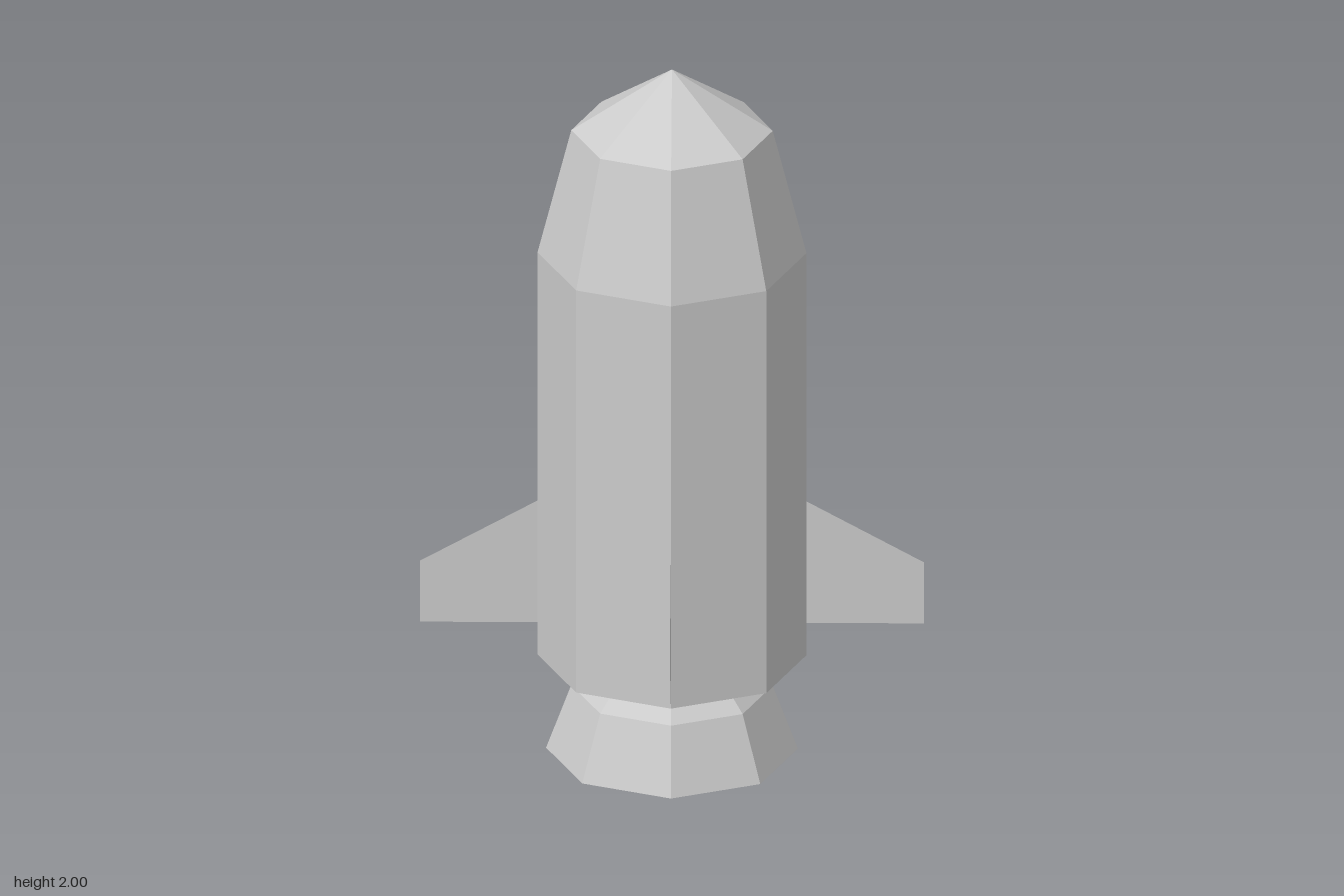
import * as THREE from 'three';

const SIDES = 8;

export function createModel() {
  const model = new THREE.Group();
  model.name = 'rocket';
  const solid = new THREE.MeshStandardMaterial({ color: 0xcccccc, flatShading: true });
  const sheet = new THREE.MeshStandardMaterial({ color: 0xcccccc, flatShading: true, side: THREE.DoubleSide });

  // Eight-sided solid turned from [radius, height] pairs
  const turned = (name, profile) => {
    const points = profile.map(([r, y]) => new THREE.Vector2(r, y));
    const mesh = new THREE.Mesh(new THREE.LatheGeometry(points, SIDES), solid);
    mesh.name = name;
    model.add(mesh);
  };

  // Hull with closed base, tapered shoulder and pointed tip
  turned('hull', [[0, 0.275], [0.363, 0.275], [0.363, 1.46]]);
  turned('shoulder', [[0.363, 1.46], [0.272, 1.82]]);
  turned('noseCone', [[0.272, 1.82], [0, 2]]);

  // Thick-walled nozzle: inner ceiling, inner wall, rim, outer flare, neck
  turned('nozzle', [[0, 0.185], [0.15, 0.185], [0.225, 0], [0.34, 0], [0.272, 0.185], [0.18, 0.275]]);

  // Four thin fins on the diagonal corners of the hull
  const finShape = new THREE.Shape([
    new THREE.Vector2(0.36, 0.37),
    new THREE.Vector2(0.68, 0.37),
    new THREE.Vector2(0.68, 0.55),
    new THREE.Vector2(0.36, 0.73),
  ]);
  const finGeometry = new THREE.ShapeGeometry(finShape);
  for (let i = 0; i < 4; i++) {
    const fin = new THREE.Mesh(finGeometry, sheet);
    fin.name = `fin${i + 1}`;
    fin.rotation.y = Math.PI / 4 + (i * Math.PI) / 2;
    model.add(fin);
  }

  return model;
}
